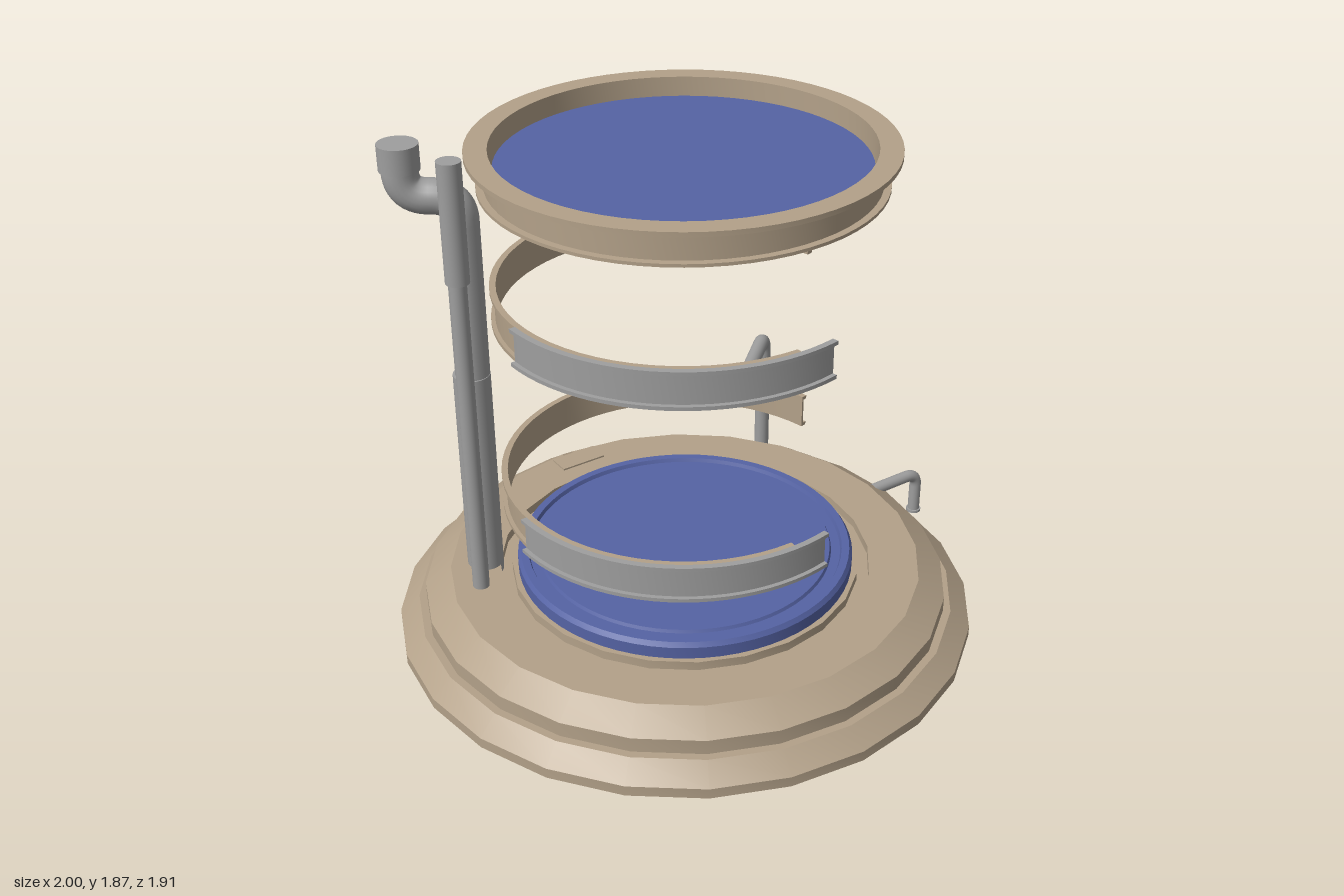
import * as THREE from 'three';
import { mergeGeometries, toCreasedNormals } from 'three/addons/utils/BufferGeometryUtils.js';

const makeMaterial = (name, color) => {
  const m = new THREE.MeshStandardMaterial({ color, side: THREE.DoubleSide });
  m.name = name;
  return m;
};

export function createModel() {
  const tan = makeMaterial('tan', 0xb3a189);
  const gray = makeMaterial('gray', 0x9e9e9e);
  const blue = makeMaterial('blue', 0x5563a4);
  const teal = makeMaterial('dark teal', 0x5f7d7a);

  const model = new THREE.Group();
  const stack = new THREE.Group(); // everything round shares this axis
  stack.name = 'roundStack';
  stack.position.x = -0.045;
  model.add(stack);

  const add = (parent, name, geometry, material, x = 0, y = 0, z = 0) => {
    const mesh = new THREE.Mesh(geometry, material);
    mesh.name = name;
    mesh.position.set(x, y, z);
    parent.add(mesh);
    return mesh;
  };
  const vectors = (pts) => pts.map(([r, y]) => new THREE.Vector2(r, y));

  // Full turn of a profile, with sharp steps kept sharp
  const turn = (pts, segments) =>
    toCreasedNormals(new THREE.LatheGeometry(vectors(pts), segments), 0.45);

  // Part turn of a closed profile, with flat ends
  const arc = (pts, segments, start, length) => {
    const closed = vectors([...pts, pts[0]]);
    const parts = [toCreasedNormals(new THREE.LatheGeometry(closed, segments, start, length), 0.45)];
    for (const phi of [start, start + length]) {
      const end = new THREE.ShapeGeometry(new THREE.Shape(vectors(pts)));
      end.rotateY(phi - Math.PI / 2);
      parts.push(end.toNonIndexed());
    }
    return mergeGeometries(parts);
  };

  // Stepped base, with a narrow channel cut in the back of its rim
  const gap = 0.052;
  add(stack, 'baseCore', turn([
    [0, 0.2], [0.74, 0.2], [0.74, 0.4], [0.615, 0.4], [0.615, 0.37],
    [0.575, 0.37], [0.575, 0.4], [0, 0.4]], 24), tan);
  add(stack, 'baseRim', arc([
    [0.72, 0.2], [0.955, 0.2], [0.955, 0.235], [0.89, 0.29], [0.865, 0.29],
    [0.865, 0.34], [0.778, 0.4], [0.72, 0.4]], 24, Math.PI + gap / 2, Math.PI * 2 - gap), tan);
  add(stack, 'rimChannel', arc([
    [0.72, 0.2], [0.94, 0.2], [0.94, 0.22], [0.875, 0.272], [0.848, 0.272],
    [0.848, 0.325], [0.768, 0.385], [0.72, 0.385]], 1, Math.PI - gap / 2, gap), tan);
  add(stack, 'channelBracket', new THREE.BoxGeometry(0.17, 0.008, 0.08), tan, 0.015, 0.402, -0.72);

  // Blue discs: one on the base, one in the top ring
  add(stack, 'lowerDisc', turn([
    [0, 0.38], [0.555, 0.38], [0.555, 0.44], [0.545, 0.455], [0.52, 0.455], [0.515, 0.442],
    [0.485, 0.442], [0.48, 0.452], [0, 0.452]], 64), blue);
  add(stack, 'upperDisc', turn([
    [0, 1.758], [0.48, 1.758], [0.485, 1.768], [0.515, 1.768], [0.52, 1.755], [0.545, 1.755],
    [0.56, 1.77], [0.56, 1.8], [0, 1.8]], 64), blue);

  // Square frame under the upper disc
  const square = (s) => vectors([[-s, -s], [s, -s], [s, s], [-s, s]]);
  const frameShape = new THREE.Shape(square(0.325));
  frameShape.holes.push(new THREE.Path(square(0.265)));
  const frame = new THREE.ExtrudeGeometry(frameShape, { depth: 0.02, bevelEnabled: false });
  frame.rotateX(-Math.PI / 2);
  add(stack, 'squareFrame', frame, teal, 0, 1.742, 0);

  // Flanged top ring with a small gusset on its left side
  add(stack, 'topRing', turn([
    [0.57, 1.745], [0.61, 1.745], [0.61, 1.755], [0.588, 1.755], [0.588, 1.845], [0.64, 1.845],
    [0.64, 1.86], [0.57, 1.86], [0.57, 1.745]], 64), tan);
  const gusset = new THREE.ExtrudeGeometry(
    new THREE.Shape(vectors([[0.585, 1.755], [0.605, 1.755], [0.635, 1.845], [0.585, 1.845]])),
    { depth: 0.012, bevelEnabled: false });
  add(stack, 'ringGusset', gusset, tan, 0, 0, -0.006);

  // Two open bands, each with a gray cover over the front right quarter
  const channel = (inner, wall, outer, h, t) => [
    [inner, -h], [outer, -h], [outer, t - h], [wall, t - h],
    [wall, h - t], [outer, h - t], [outer, h], [inner, h]];
  for (const [name, y] of [['lower', 0.715], ['upper', 1.37]]) {
    add(stack, name + 'Band',
      arc(channel(0.57, 0.577, 0.59, 0.058, 0.012), 48, 1.76, Math.PI * 2 - 1.76), tan, 0, y, 0);
    add(stack, name + 'BandCover',
      arc(channel(0.591, 0.597, 0.611, 0.061, 0.012), 24, 4.73, Math.PI * 2 + 0.2 - 4.73), gray, 0, y, 0);
  }

  // Pipe along a path whose corners are rounded
  const pipe = (parent, name, pts, radius, bend) => {
    const p = pts.map((a) => new THREE.Vector3(...a));
    const path = new THREE.CurvePath();
    let from = p[0];
    for (let i = 1; i < p.length - 1; i++) {
      const before = p[i].clone().add(p[i - 1].clone().sub(p[i]).setLength(bend));
      const after = p[i].clone().add(p[i + 1].clone().sub(p[i]).setLength(bend));
      if (from.distanceTo(before) > 0.002) path.add(new THREE.LineCurve3(from, before));
      path.add(new THREE.QuadraticBezierCurve3(before, p[i], after));
      from = after;
    }
    path.add(new THREE.LineCurve3(from, p[p.length - 1]));
    return add(parent, name, new THREE.TubeGeometry(path, 80, radius, 20), gray);
  };
  const post = (parent, name, radius, y0, y1, x, z) =>
    add(parent, name, new THREE.CylinderGeometry(radius, radius, y1 - y0, 28), gray, x, (y0 + y1) / 2, z);

  // Large standpipe with a swan neck
  const large = new THREE.Group();
  large.name = 'largePipe';
  model.add(large);
  post(large, 'largePipeLower', 0.059, 0, 1.11, -0.612, -0.345);
  pipe(large, 'largePipeNeck', [
    [-0.608, 1.1, -0.345], [-0.608, 1.705, -0.345], [-0.75, 1.705, -0.435], [-0.75, 1.86, -0.435],
  ], 0.055, 0.082);
  post(large, 'largePipeCap', 0.062, 1.79, 1.87, -0.75, -0.435);

  // Thin standpipe beside it
  const thin = new THREE.Group();
  thin.name = 'thinPipe';
  model.add(thin);
  post(thin, 'thinPipeLower', 0.027, 0.05, 1.5, -0.69, -0.23);
  post(thin, 'thinPipeUpper', 0.037, 1.49, 1.87, -0.69, -0.23);

  // Tall and short bent arms standing on the rim
  const arms = new THREE.Group();
  arms.name = 'bentArms';
  model.add(arms);
  pipe(arms, 'tallArm', [[0.465, 0.71, -0.39], [0.742, 0.71, -0.64], [0.742, 0.2, -0.64]], 0.027, 0.06);
  post(arms, 'tallArmFoot', 0.033, 0.2, 0.212, 0.742, -0.64);
  const collar = add(arms, 'tallArmCollar', new THREE.CylinderGeometry(0.032, 0.032, 0.012, 28), gray, 0.465, 0.71, -0.39);
  collar.quaternion.setFromUnitVectors(
    new THREE.Vector3(0, 1, 0), new THREE.Vector3(0.277, 0, -0.25).normalize());
  pipe(arms, 'shortArm', [[0.765, 0.36, 0], [0.97, 0.36, 0], [0.97, 0.2, 0]], 0.021, 0.05);
  post(arms, 'shortArmFoot', 0.026, 0.2, 0.21, 0.97, 0);

  return model;
}
